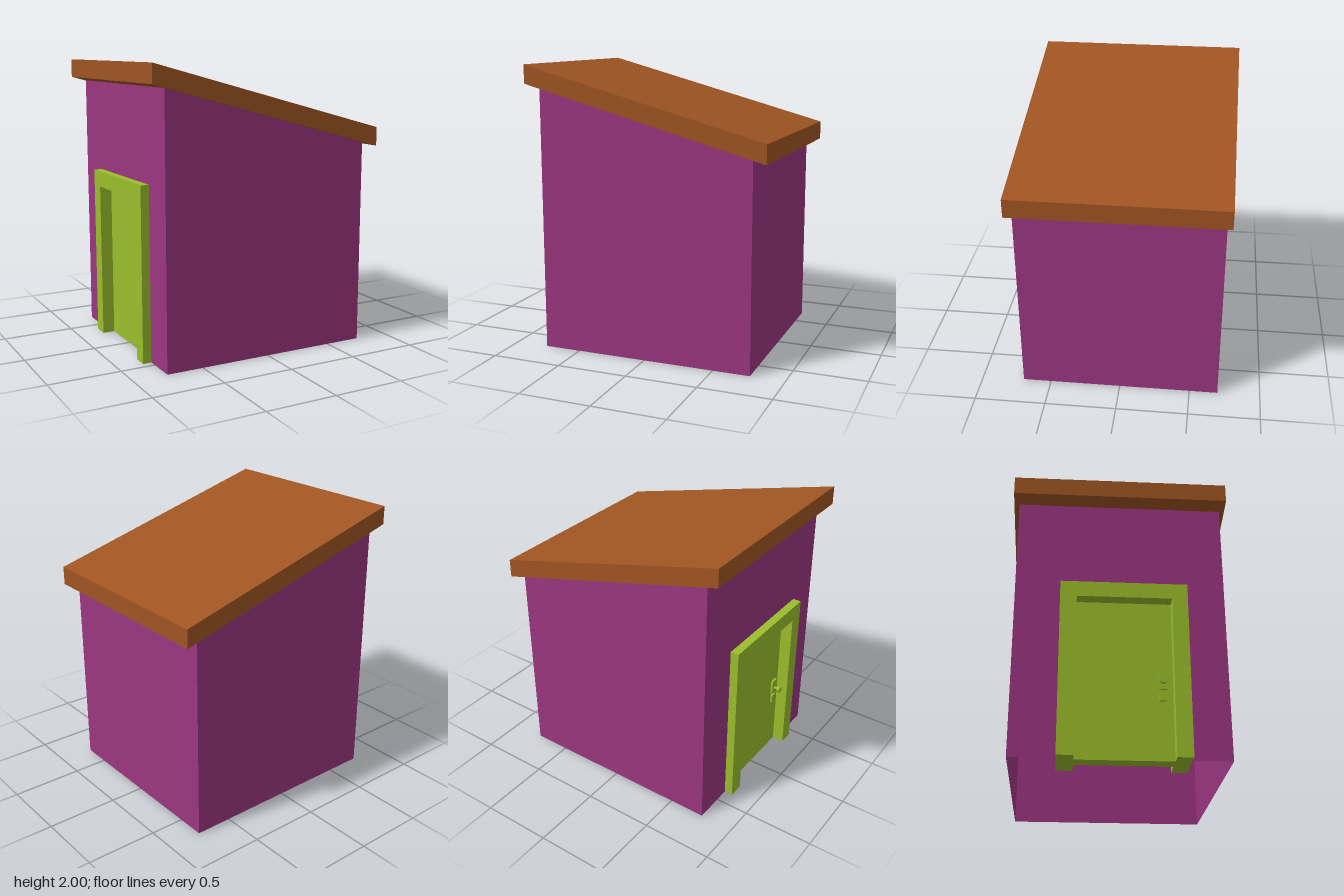
import * as THREE from 'three';

const wallMat = new THREE.MeshStandardMaterial({ color: 0x9c3681, side: THREE.DoubleSide });
const roofMat = new THREE.MeshStandardMaterial({ color: 0xa05522 });
const doorMat = new THREE.MeshStandardMaterial({ color: 0x9abe2c });

const W = 0.76, D = 0.7;            // half width and half depth of the walls
const ROOF_W = 0.857, ROOF_D = 0.735;
const under = x => 1.64 - 0.27 * x; // underside of the sloping roof

function shapeOf(points) {
  return new THREE.Shape(points.map(([x, y]) => new THREE.Vector2(x, y)));
}

function add(parent, name, geometry, material, x = 0, y = 0, z = 0) {
  const mesh = new THREE.Mesh(geometry, material);
  mesh.name = name;
  mesh.position.set(x, y, z);
  parent.add(mesh);
  return mesh;
}

// Box given by its limits on each axis
function block(parent, name, [x0, x1], [y0, y1], [z0, z1]) {
  return add(parent, name, new THREE.BoxGeometry(x1 - x0, y1 - y0, z1 - z0), doorMat,
    (x0 + x1) / 2, (y0 + y1) / 2, (z0 + z1) / 2);
}

export function createModel() {
  const shed = new THREE.Group();
  shed.name = 'shed';

  // Thin walls, open at the bottom
  const walls = new THREE.Group();
  walls.name = 'walls';
  shed.add(walls);
  const side = shapeOf([[-W, 0], [W, 0], [W, under(W)], [-W, under(-W)]]);
  add(walls, 'frontWall', new THREE.ShapeGeometry(side), wallMat, 0, 0, D);
  const back = new THREE.ShapeGeometry(side).rotateY(Math.PI).scale(-1, 1, 1);
  // restore outward winding after mirroring
  back.setIndex(Array.from(back.index.array).reverse());
  back.computeVertexNormals();
  add(walls, 'backWall', back, wallMat, 0, 0, -D);

  const low = shapeOf([[-D, 0], [D, 0], [D, under(W)], [-D, under(W)]]);
  add(walls, 'lowWall', new THREE.ShapeGeometry(low).rotateY(Math.PI / 2), wallMat, W);

  // Tall wall notched for the doorway (shape x runs along +z)
  const h = under(-W);
  const tall = shapeOf([[-D, 0], [-0.35, 0], [-0.35, 1.15], [0.39, 1.15], [0.39, 0], [D, 0], [D, h], [-D, h]]);
  add(walls, 'doorWall', new THREE.ShapeGeometry(tall).rotateY(-Math.PI / 2), wallMat, -W);

  // Sloping roof slab with plumb-cut ends
  const t = 0.13;
  const slab = shapeOf([
    [-ROOF_W, under(-ROOF_W)], [ROOF_W, under(ROOF_W)],
    [ROOF_W, under(ROOF_W) + t], [-ROOF_W, under(-ROOF_W) + t],
  ]);
  const roof = new THREE.ExtrudeGeometry(slab, { depth: 2 * ROOF_D, bevelEnabled: false });
  add(shed, 'roof', roof, roofMat, 0, 0, -ROOF_D);

  // Door frame: one U-shaped piece passing through the wall
  const door = new THREE.Group();
  door.name = 'door';
  shed.add(door);
  const u = shapeOf([[-0.4, 0], [-0.29, 0], [-0.29, 1.1], [0.34, 1.1], [0.34, 0], [0.445, 0], [0.445, 1.21], [-0.4, 1.21]]);
  const frame = new THREE.ExtrudeGeometry(u, { depth: 0.31, bevelEnabled: false }).rotateY(-Math.PI / 2);
  add(door, 'doorFrame', frame, doorMat, -0.51);
  block(door, 'doorPanel', [-0.735, -0.63], [0, 1.1], [-0.29, 0.34]);

  // Handle set on both faces of the door
  for (const [face, s] of [[-0.735, -1], [-0.63, 1]]) {
    const handle = new THREE.Group();
    handle.name = s < 0 ? 'outerHandle' : 'innerHandle';
    door.add(handle);
    const out = d => [Math.min(face, face + s * d), Math.max(face, face + s * d)];
    block(handle, 'handlePlate', out(0.015), [0.48, 0.59], [0.245, 0.3]);
    block(handle, 'lockPlate', out(0.015), [0.4, 0.46], [0.25, 0.295]);
    const stem = new THREE.CylinderGeometry(0.01, 0.01, 0.05, 10).rotateZ(Math.PI / 2);
    add(handle, 'handleStem', stem, doorMat, face + s * 0.025, 0.525, 0.272);
    const knob = new THREE.CylinderGeometry(0.024, 0.024, 0.02, 10).rotateZ(Math.PI / 2);
    add(handle, 'knob', knob, doorMat, face + s * 0.055, 0.525, 0.272);
  }
  return shed;
}
